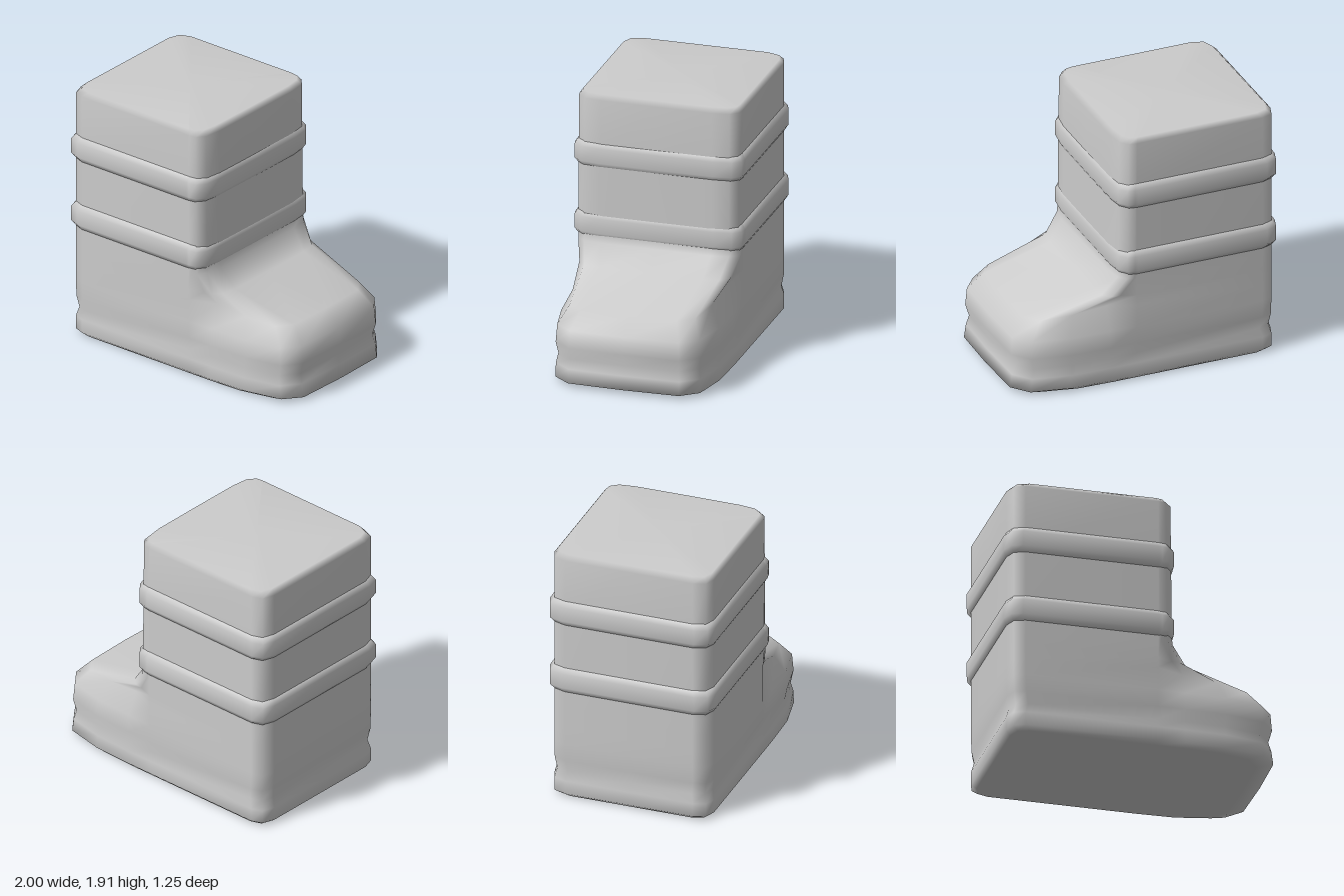
import * as THREE from 'three';

// Horizontal outline: square heel, then a front end of length len and half-width tip.
// y may climb by rise where the front end meets the shaft.
function outline({ y, back, front, w, tip = w, len, rise = 0 }) {
  const half = [
    [back, 0, y], [back, w * 0.8, y], [back + 0.03, w * 0.95, y], [back + 0.11, w, y],
    [Math.min(0.1, front - len), w, y + rise],
    [front - len, tip, y + rise],
    [front - len * 0.56, tip * 0.985, y + rise * 0.5],
    [front - len * 0.16, tip * 0.89, y],
    [front - len * 0.015, tip * 0.68, y],
    [front, 0, y],
  ];
  const mirrored = half.slice(1, -1).reverse().map(([x, z, h]) => [x, -z, h]);
  return [...half, ...mirrored].map(([x, z, h]) => [x, h, z]);
}

// Skin a stack of outlines from bottom to top, optionally capped.
function loft(sections, capped) {
  const rings = sections.map(outline);
  const n = rings[0].length;
  const points = rings.flat();
  const index = [];
  for (let i = 0; i < rings.length - 1; i++) {
    for (let j = 0; j < n; j++) {
      const a = i * n + j, b = i * n + (j + 1) % n;
      index.push(a, b, b + n, a, b + n, a + n);
    }
  }
  if (capped) {
    [0, rings.length - 1].forEach((r) => {
      const s = sections[r];
      const centre = points.push([(s.back + s.front) / 2, s.y, 0]) - 1;
      for (let j = 0; j < n; j++) {
        const a = r * n + j, b = r * n + (j + 1) % n;
        if (r) index.push(centre, a, b);
        else index.push(centre, b, a);
      }
    });
  }
  const geo = new THREE.BufferGeometry();
  geo.setAttribute('position', new THREE.Float32BufferAttribute(points.flat(), 3));
  geo.setIndex(index);
  geo.computeVertexNormals();
  return geo;
}

export function createModel() {
  const group = new THREE.Group();
  const material = new THREE.MeshStandardMaterial({ color: 0xcccccc });
  const add = (name, geo) => {
    const mesh = new THREE.Mesh(geo, material);
    mesh.name = name;
    group.add(mesh);
  };

  // Sole, foot and shaft in one skin
  add('boot', loft([
    { y: 0, back: -0.94, front: 0.88, w: 0.57, len: 0.62 },
    { y: 0.03, back: -0.975, front: 1.0, w: 0.6, len: 0.7 },
    { y: 0.13, back: -0.975, front: 0.985, w: 0.6, len: 0.69 },
    { y: 0.2, back: -0.955, front: 0.965, w: 0.585, len: 0.67 },
    { y: 0.29, back: -0.97, front: 0.99, w: 0.6, len: 0.69 },
    { y: 0.42, back: -0.975, front: 0.98, w: 0.6, tip: 0.59, len: 0.68 },
    { y: 0.54, back: -0.975, front: 0.87, w: 0.6, tip: 0.52, len: 0.57, rise: 0.05 },
    { y: 0.67, back: -0.975, front: 0.35, w: 0.6, tip: 0.56, len: 0.14 },
    { y: 0.81, back: -0.975, front: 0.24, w: 0.6, len: 0.12 },
    { y: 0.9, back: -0.975, front: 0.235, w: 0.6, len: 0.12 },
    { y: 1.46, back: -0.975, front: 0.23, w: 0.6, len: 0.12 },
    { y: 1.88, back: -0.975, front: 0.225, w: 0.6, len: 0.12 },
    { y: 1.915, back: -0.94, front: 0.195, w: 0.575, len: 0.11 },
  ], true));

  // Two padded bands around the shaft
  [['lowerBand', 0.935], ['upperBand', 1.465]].forEach(([name, mid]) => {
    const sections = [[-0.09, -0.02], [-0.095, 0], [-0.055, 0.025], [0.055, 0.025], [0.095, 0], [0.09, -0.02]]
      .map(([dy, out]) => ({ y: mid + dy, back: -0.975 - out, front: 0.225 + out * 0.8, w: 0.6 + out, len: 0.12 }));
    add(name, loft(sections, false));
  });

  return group;
}
